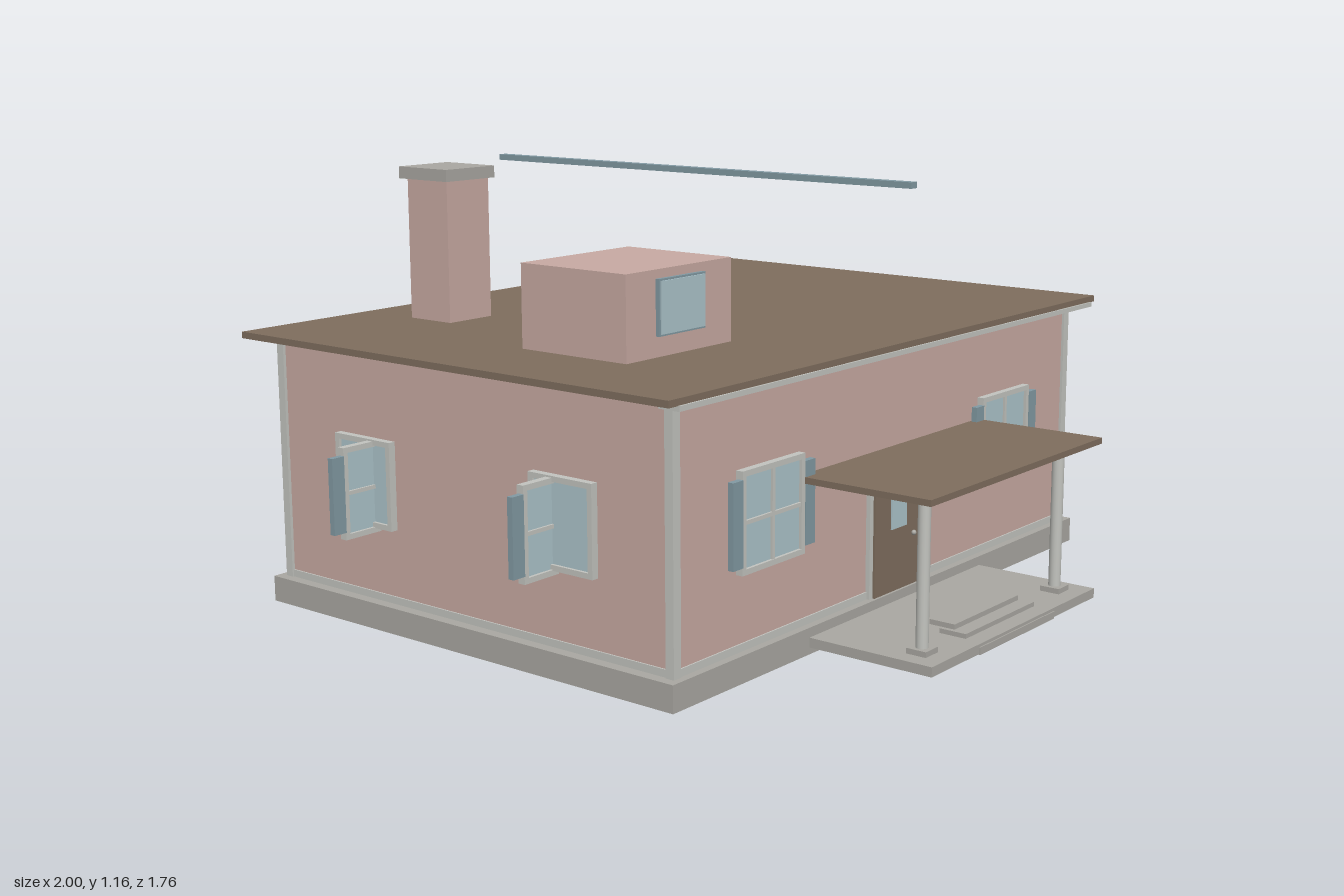
import * as THREE from 'three';

const mat = (name, color) => {
  const m = new THREE.MeshStandardMaterial({ color });
  m.name = name;
  return m;
};

export function createModel() {
  const wall = mat('pink wall', 0xc8aaa3);
  const brown = mat('brown wood', 0x7f6e5e);
  const stone = mat('grey stone', 0xaaa8a2);
  const trim = mat('pale trim', 0xc3c4bf);
  const glass = mat('blue glass', 0xadc4cb);
  const shutter = mat('blue shutter', 0x829aa3);

  const house = new THREE.Group();
  house.name = 'house';

  // box given by its lower and upper limits on each axis
  const box = (name, m, x0, x1, y0, y1, z0, z1, parent = house) => {
    const mesh = new THREE.Mesh(new THREE.BoxGeometry(x1 - x0, y1 - y0, z1 - z0), m);
    mesh.position.set((x0 + x1) / 2, (y0 + y1) / 2, (z0 + z1) / 2);
    mesh.name = name;
    parent.add(mesh);
    return mesh;
  };

  // window facing +z, its back at z = 0, centred on its group
  const makeWindow = (name, w, h, x, y, z, turn = 0, shuttered = false) => {
    const g = new THREE.Group();
    g.name = name;
    const a = w / 2, b = h / 2, t = 0.014, d = 0.02;
    box('windowBacking', trim, -a + 0.002, a - 0.002, -b + 0.002, b - 0.002, 0, 0.006, g);
    box('windowGlass', glass, -a + t, a - t, -b + t, b - t, 0.006, 0.012, g);
    for (const s of [-1, 1]) {
      box('frameSide', trim, s * (a - t / 2) - t / 2, s * (a - t / 2) + t / 2, -b, b, 0, d, g);
      box('frameRail', trim, -a + t, a - t, s * (b - t / 2) - t / 2, s * (b - t / 2) + t / 2, 0, d, g);
    }
    if (shuttered) {
      box('muntinUpright', trim, -0.005, 0.005, -b + t, b - t, 0.012, 0.018, g);
      box('muntinBar', trim, -a + t, a - t, -0.005, 0.005, 0.012, 0.018, g);
      for (const s of [-1, 1]) {
        const c = s * (a + 0.019);
        box('shutter', shutter, c - 0.019, c + 0.019, -b + 0.02, b - 0.02, 0.006, 0.022, g);
      }
    }
    g.position.set(x, y, z);
    g.rotation.y = turn;
    house.add(g);
  };

  // foundation, walls and base trim
  box('foundation', stone, -0.88, 0.95, 0, 0.068, -0.85, 0.525);
  box('walls', wall, -0.847, 0.927, 0.068, 0.71, -0.822, 0.5);
  box('baseTrim', trim, -0.851, 0.931, 0.068, 0.087, -0.826, 0.504);
  for (const x of [-0.842, 0.921])
    for (const z of [-0.817, 0.495])
      box('cornerBoard', trim, x - 0.013, x + 0.013, 0.068, 0.708, z - 0.012, z + 0.012);

  // roof with gutters
  box('roof', brown, -0.925, 0.995, 0.711, 0.728, -0.88, 0.555);
  box('frontGutter', trim, -0.895, 0.97, 0.699, 0.712, 0.5, 0.56);
  box('backGutter', trim, -0.86, 0.935, 0.695, 0.711, -0.834, -0.822);
  box('ridgeBeam', shutter, 0.022, 0.048, 1.11, 1.126, -0.875, 0.55);

  // chimney
  box('chimney', wall, -0.675, -0.53, 0.77, 1.128, -0.51, -0.37);
  box('chimneyCap', stone, -0.69, -0.522, 1.127, 1.157, -0.525, -0.355);

  // dormer
  box('dormer', wall, -0.695, -0.3, 0.737, 0.948, -0.1, 0.235);
  box('dormerWindowFrame', shutter, -0.588, -0.414, 0.788, 0.926, 0.235, 0.246);
  box('dormerWindowGlass', glass, -0.583, -0.419, 0.793, 0.921, 0.246, 0.25);

  // windows in all four walls
  for (const x of [-0.497, 0.57]) makeWindow('frontWindow', 0.245, 0.25, x, 0.383, 0.5, 0, true);
  for (const z of [0.175, -0.5]) {
    makeWindow('leftWindow', 0.2, 0.228, 0.927, 0.384, z, Math.PI / 2);
    makeWindow('rightWindow', 0.2, 0.228, -0.847, 0.376, z, -Math.PI / 2);
  }
  for (const x of [0.54, -0.45]) makeWindow('backWindow', 0.22, 0.22, x, 0.382, -0.822, Math.PI);
  // casements standing out from the right wall
  for (const z of [0.132, -0.48]) makeWindow('openCasement', 0.23, 0.235, -0.847, 0.368, z, 0, true);

  // front door
  box('doorFrame', trim, -0.083, 0.152, 0.068, 0.385, 0.5, 0.512);
  box('door', brown, -0.068, 0.138, 0.068, 0.38, 0.505, 0.518);
  box('doorGlass', glass, 0.003, 0.072, 0.235, 0.332, 0.518, 0.522);
  const knob = new THREE.Mesh(new THREE.SphereGeometry(0.007, 12, 8), stone);
  knob.name = 'doorKnob';
  knob.position.set(0.105, 0.207, 0.523);
  house.add(knob);

  // porch
  box('porchFloor', stone, -0.36, 0.435, 0.018, 0.043, 0.5, 0.877);
  box('porchCanopy', brown, -0.377, 0.45, 0.432, 0.448, 0.5, 0.877);
  box('doorHood', wall, -0.175, 0.248, 0.385, 0.397, 0.5, 0.725);
  box('lowerStep', stone, -0.147, 0.217, 0.016, 0.035, 0.8, 0.88);
  box('middleStep', stone, -0.133, 0.2, 0.043, 0.055, 0.755, 0.83);
  box('upperStep', stone, -0.12, 0.187, 0.055, 0.068, 0.717, 0.79);
  for (const x of [-0.286, 0.356]) {
    box('postBase', stone, x - 0.027, x + 0.027, 0.043, 0.057, 0.775, 0.83);
    const post = new THREE.Mesh(new THREE.CylinderGeometry(0.016, 0.016, 0.355, 16), trim);
    post.name = 'porchPost';
    post.position.set(x, 0.2325, 0.802);
    house.add(post);
  }
  return house;
}
